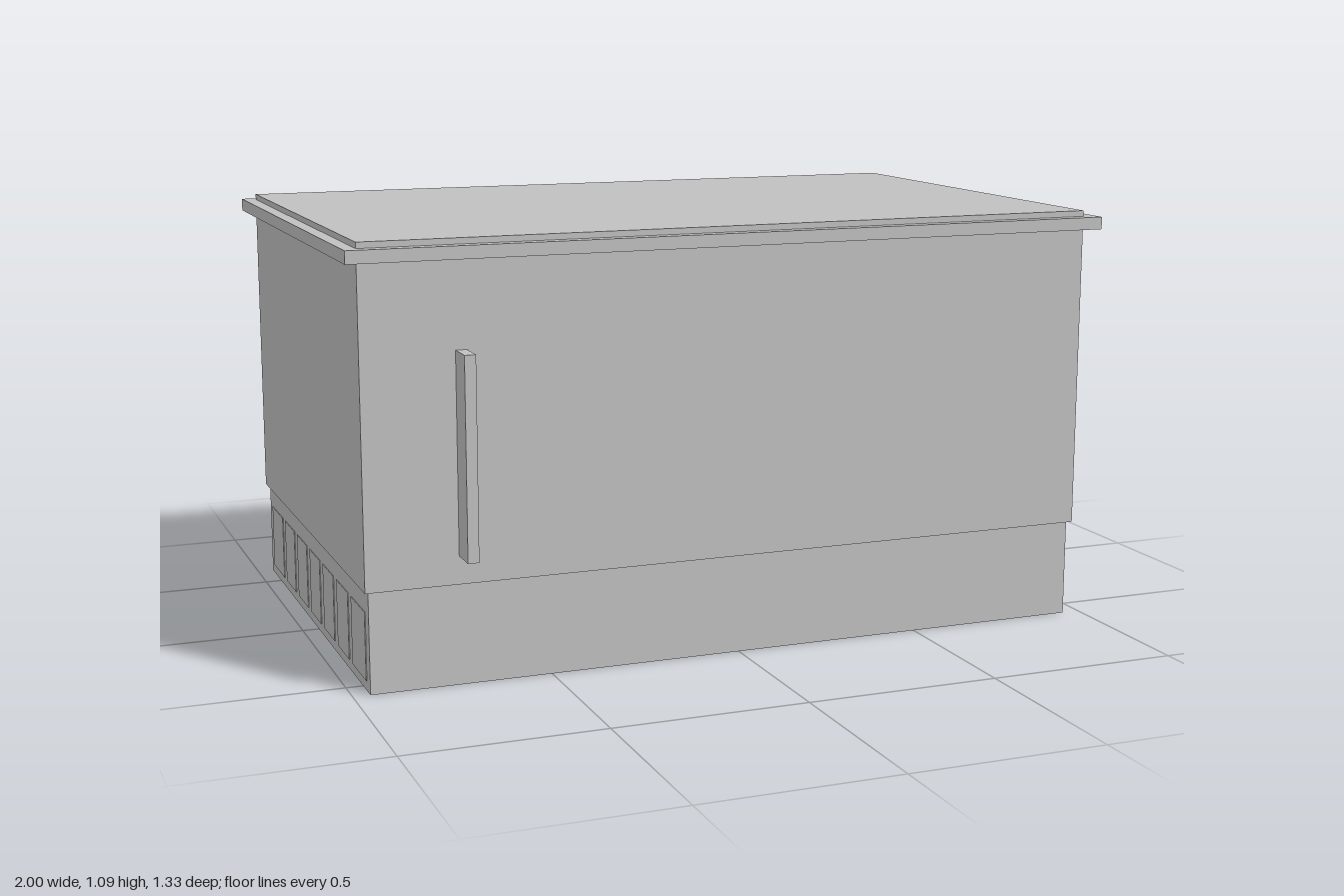
import * as THREE from 'three';

const grey = new THREE.MeshStandardMaterial({ color: 0xc0c0c0, side: THREE.DoubleSide });
grey.name = 'light grey';

// Outlines as [x0, x1, z0, z1]
const BODY = [-0.967, 0.963, -0.63, 0.587];
const BASE = [-0.957, 0.953, -0.62, 0.575];
const LID = [-1, 1, -0.663, 0.618];

function addMesh(group, name, geometry) {
  const mesh = new THREE.Mesh(geometry, grey);
  mesh.name = name;
  group.add(mesh);
  return mesh;
}

// Box between two corners
function block([x0, x1, z0, z1], y0, y1) {
  return new THREE.BoxGeometry(x1 - x0, y1 - y0, z1 - z0)
    .translate((x0 + x1) / 2, (y0 + y1) / 2, (z0 + z1) / 2);
}

// Four thin walls without top or bottom
function walls(rect, y0, y1) {
  const g = block(rect, y0, y1);
  const index = Array.from(g.index.array);
  index.splice(12, 12);
  g.setIndex(index);
  g.clearGroups();
  return g;
}

// Flat rectangular ring facing down
function ring(outer, inner, y) {
  const corners = ([x0, x1, z0, z1]) => [[x0, z0], [x1, z0], [x1, z1], [x0, z1]]
    .map(([x, z]) => new THREE.Vector2(x, z));
  const shape = new THREE.Shape(corners(outer));
  shape.holes.push(new THREE.Path(corners(inner)));
  return new THREE.ShapeGeometry(shape).rotateX(Math.PI / 2).translate(0, y, 0);
}

export function createModel() {
  const model = new THREE.Group();
  model.name = 'cabinet';

  // Hollow plinth, open underneath, and the wider body above it
  addMesh(model, 'plinth', walls(BASE, 0, 0.255));
  addMesh(model, 'bodyLedge', ring(BODY, BASE, 0.255));
  addMesh(model, 'bodyWalls', walls(BODY, 0.255, 1.043));

  // Overhanging lid with a slightly raised top panel
  addMesh(model, 'lid', block(LID, 1.043, 1.075));
  addMesh(model, 'topPanel', block(BODY, 1.075, 1.09));

  // Upright door handle
  addMesh(model, 'handle', block([-0.735, -0.707, 0.587, 0.663], 0.325, 0.825));

  // Row of vent panels on both sides of the plinth
  const vents = [[0.397, 0.541], [0.237, 0.362], [0.078, 0.2], [-0.082, 0.04],
    [-0.244, -0.12], [-0.406, -0.281], [-0.584, -0.44]];
  const ventRows = new THREE.Group();
  ventRows.name = 'ventRows';
  for (const [z0, z1] of vents) {
    addMesh(ventRows, 'leftVent', block([BASE[1], BASE[1] + 0.002, z0, z1], 0.025, 0.197));
    addMesh(ventRows, 'rightVent', block([BASE[0] - 0.002, BASE[0], z0, z1], 0.025, 0.197));
  }
  model.add(ventRows);

  return model;
}
